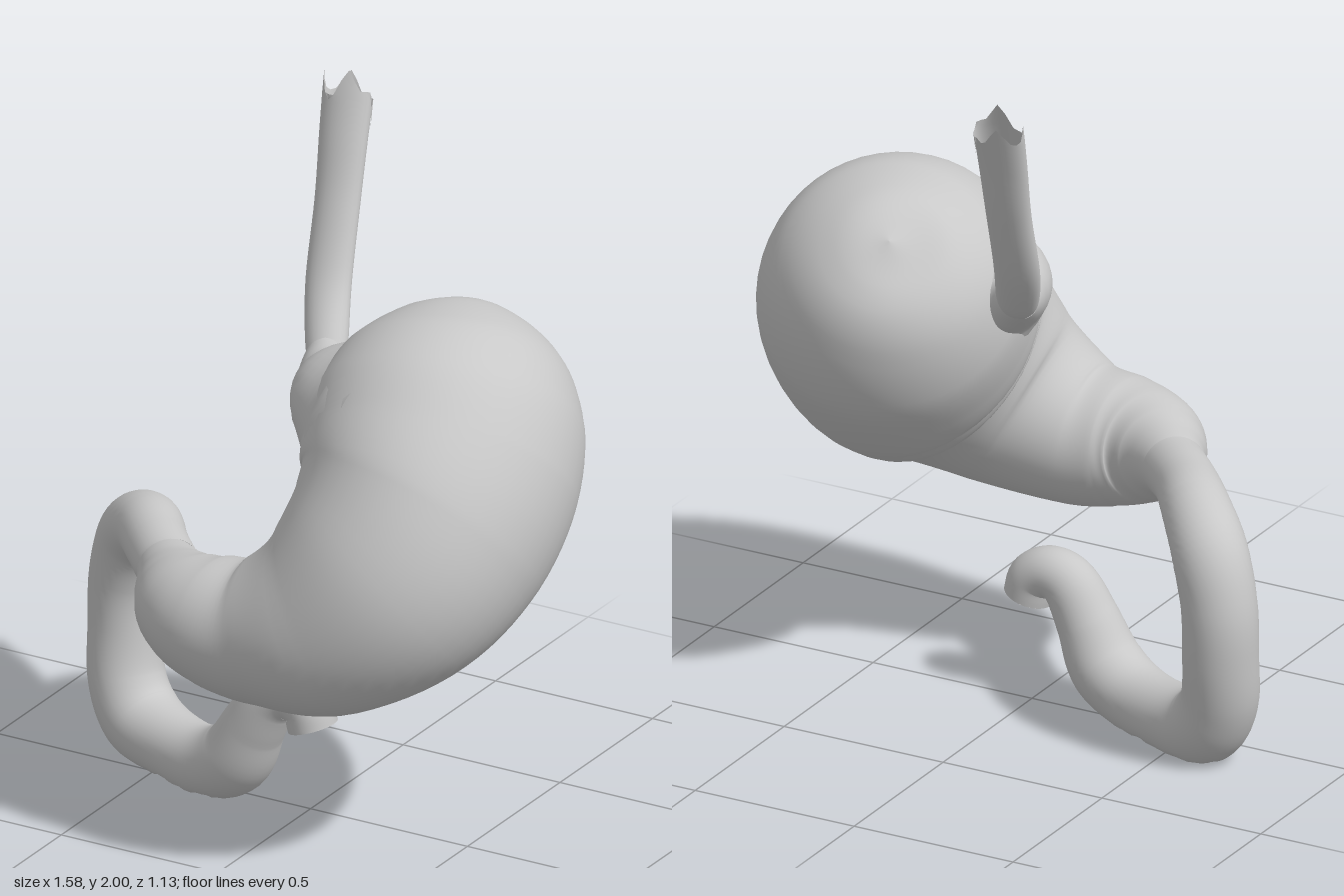
import * as THREE from 'three';

const tissue = new THREE.MeshStandardMaterial({ color: 0xc8c8c8, side: THREE.DoubleSide });
tissue.name = 'tissue grey';

// Smooth loft through sections [x, y, z, halfWidth, halfDepth]; depth lies along "depthAxis".
// "adjust" may move a point, and returns true where the wall is torn away.
function loft(name, sections, depthAxis, rings, sides, adjust = () => false) {
  const curve = points => new THREE.CatmullRomCurve3(points, false, 'catmullrom', 0.5);
  const path = curve(sections.map(s => new THREE.Vector3(s[0], s[1], s[2])));
  const size = curve(sections.map(s => new THREE.Vector3(s[3], s[4] ?? s[3], 0)));
  const positions = [], torn = [], index = [];
  for (let i = 0; i <= rings; i++) {
    const t = i / rings;
    const c = path.getPoint(t), r = size.getPoint(t), tangent = path.getTangent(t);
    const n = depthAxis.clone().addScaledVector(tangent, -depthAxis.dot(tangent)).normalize();
    const u = n.clone().cross(tangent);
    for (let j = 0; j < sides; j++) {
      const angle = (j / sides) * Math.PI * 2;
      const p = c.clone()
        .addScaledVector(u, Math.max(r.x, 0.0005) * Math.cos(angle))
        .addScaledVector(n, Math.max(r.y, 0.0005) * Math.sin(angle));
      torn.push(adjust(p, i, j, tangent));
      positions.push(p.x, p.y, p.z);
    }
  }
  for (let i = 0; i < rings; i++) {
    for (let j = 0; j < sides; j++) {
      const a = i * sides + j, b = i * sides + (j + 1) % sides, c = b + sides, d = a + sides;
      if (!(torn[a] && torn[b] && torn[c] && torn[d])) index.push(a, b, d, b, c, d);
    }
  }
  const geometry = new THREE.BufferGeometry();
  geometry.setAttribute('position', new THREE.Float32BufferAttribute(positions, 3));
  geometry.setIndex(index);
  geometry.computeVertexNormals();
  const mesh = new THREE.Mesh(geometry, tissue);
  mesh.name = name;
  return mesh;
}

export function createModel() {
  const model = new THREE.Group();
  model.name = 'stomach model';
  const tilted = new THREE.Vector3(0, 0.57, 0.82);

  // Stomach: round upper dome, bent body, narrowing outlet
  model.add(loft('stomachBody', [
    [0.262, 1.452, -0.335, 0],
    [0.278, 1.424, -0.310, 0.170],
    [0.310, 1.346, -0.245, 0.300],
    [0.355, 1.235, -0.143, 0.372, 0.385],
    [0.398, 1.113, -0.025, 0.385, 0.406],
    [0.412, 0.997, 0.102, 0.364, 0.395],
    [0.358, 0.875, 0.228, 0.342, 0.335],
    [0.215, 0.750, 0.307, 0.285, 0.260],
    [0.030, 0.680, 0.328, 0.210, 0.208],
    [-0.110, 0.680, 0.330, 0.183],
    [-0.200, 0.690, 0.305, 0.160],
    [-0.264, 0.701, 0.258, 0.132],
    [-0.313, 0.710, 0.209, 0.105],
    [-0.360, 0.715, 0.160, 0.088],
  ], tilted, 91, 48));

  // Funnel joining the gullet to the stomach
  model.add(loft('cardiaFunnel', [
    [0.26, 1.20, -0.04, 0.32, 0.34],
    [0.15, 1.225, -0.06, 0.25, 0.27],
    [0.055, 1.25, -0.08, 0.158, 0.178],
    [-0.015, 1.262, -0.125, 0.088, 0.095],
    [-0.07, 1.293, -0.19, 0.055, 0.05],
  ], new THREE.Vector3(0, 0, 1), 24, 32));

  // Gullet: flattened tube with a ragged open top
  const tear = [0.04, -0.03, 0.05, 0, -0.09, -0.02, 0.045, -0.01];
  const gulletRings = 32;
  model.add(loft('gullet', [
    [-0.045, 1.265, -0.165, 0.05, 0.045],
    [-0.075, 1.315, -0.215, 0.062, 0.05],
    [-0.125, 1.45, -0.31, 0.068, 0.045],
    [-0.150, 1.65, -0.400, 0.068, 0.043],
    [-0.166, 1.82, -0.46, 0.073, 0.044],
    [-0.176, 1.94, -0.503, 0.077, 0.046],
  ], new THREE.Vector3(0, 0.5, 0.87), gulletRings, 24, (p, i, j, tangent) => {
    if (i === gulletRings) p.addScaledVector(tangent, tear[Math.floor(j / 3) % 8] * (j % 3 === 1 ? 1.1 : 0.5));
    return false;
  }));

  // Duodenum: looping tube, torn open along its underside
  model.add(loft('duodenum', [
    [-0.355, 0.715, 0.165, 0.09],
    [-0.45, 0.722, 0.065, 0.089],
    [-0.55, 0.710, -0.055, 0.097],
    [-0.638, 0.638, -0.14, 0.106],
    [-0.683, 0.50, -0.168, 0.106],
    [-0.686, 0.35, -0.165, 0.106],
    [-0.668, 0.20, -0.14, 0.108],
    [-0.60, 0.102, -0.11, 0.112],
    [-0.47, 0.075, -0.055, 0.1],
    [-0.33, 0.08, 0.005, 0.1],
    [-0.215, 0.135, 0.04, 0.105],
    [-0.147, 0.25, 0.055, 0.09],
    [-0.09, 0.342, 0.06, 0.08],
    [-0.03, 0.37, 0.06, 0.074],
    [0.025, 0.345, 0.06, 0.072],
    [0.043, 0.29, 0.06, 0.071],
  ], tilted, 120, 32, (p, i) => {
    const edge = 0.012 + 0.007 * Math.sin(i * 1.3) * Math.sin(i * 0.45);
    const below = p.y < edge;
    if (below) p.y = edge;
    return below;
  }));

  // Flat cut at the end of the duodenum
  const cut = new THREE.Mesh(new THREE.CircleGeometry(0.071, 32), tissue);
  cut.name = 'duodenumCutEnd';
  cut.position.set(0.043, 0.29, 0.06);
  cut.lookAt(0.061, 0.235, 0.06);
  model.add(cut);

  return model;
}
